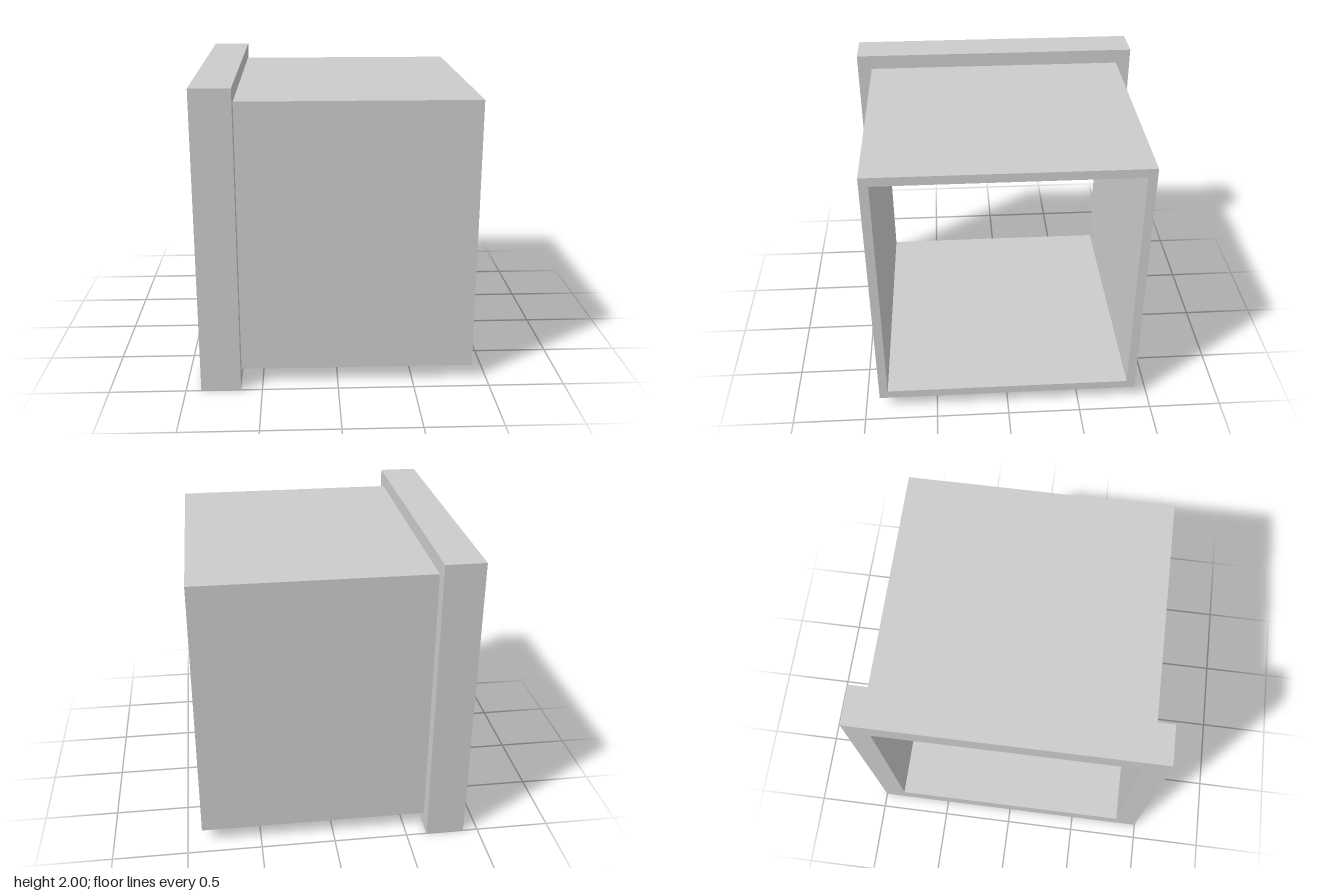
import * as THREE from 'three';

const BORE = 0.84; // half-width of the square opening

function square(half, ShapeType) {
  return new ShapeType([
    new THREE.Vector2(-half, -half),
    new THREE.Vector2(half, -half),
    new THREE.Vector2(half, half),
    new THREE.Vector2(-half, half),
  ]);
}

// Square tube running along x from x0 to x1
function squareTube(name, half, x0, x1, material) {
  const shape = square(half, THREE.Shape);
  shape.holes.push(square(BORE, THREE.Path));
  const geometry = new THREE.ExtrudeGeometry(shape, { depth: x1 - x0, bevelEnabled: false });
  geometry.rotateY(Math.PI / 2).translate(x0, 1, 0);
  const mesh = new THREE.Mesh(geometry, material);
  mesh.name = name;
  return mesh;
}

export function createModel() {
  const model = new THREE.Group();
  model.name = 'flangedSquareDuct';
  const material = new THREE.MeshStandardMaterial({ color: 0xcccccc });

  // Thick collar at one end, thin-walled duct for the rest
  model.add(squareTube('flange', 1, -0.9, -0.64, material));
  model.add(squareTube('duct', 0.9, -0.64, 0.9, material));
  return model;
}
